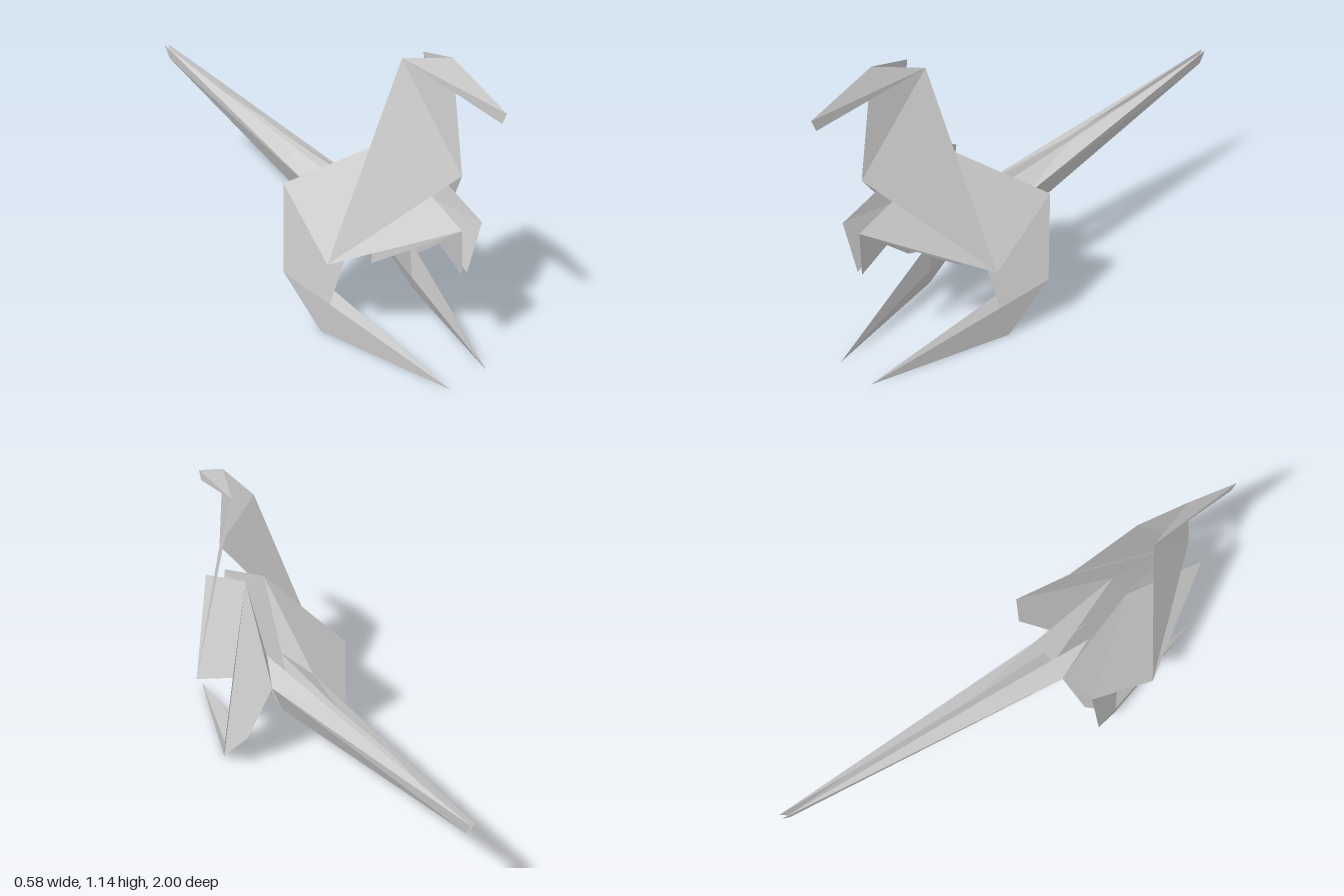
import * as THREE from 'three';

// Folded-paper bird-like dinosaur: every part is a thin sheet, mirrored in x.
const material = new THREE.MeshStandardMaterial({
  color: 0xcccccc, flatShading: true, side: THREE.DoubleSide,
});

// Corner points of the left half, shared between the sheets
const P = {
  crown: [0, 1.145, 0.76],
  nape: [0.047, 1.097, 0.58],
  beakTop: [0, 1.04, 1],
  beakBottom: [0, 1.0, 0.985],
  chest: [0, 0.757, 0.835],
  shoulder: [0.287, 0.365, 0.505],
  back: [0.042, 0.765, 0.505],
  hip: [0.255, 0.547, 0.21],
  knee: [0.288, 0.205, 0.25],
  innerKnee: [0.178, 0.18, 0.26],
  heel: [0.23, 0, 0.4],
  toe: [0.087, 0, 0.935],
  elbow: [0.046, 0.597, 0.895],
  claw: [0.012, 0.405, 0.877],
  armRoot: [0.02, 0.6, 0.57],
  bellyTip: [0.057, 0.264, 0.473],
  keel: [0.02, 0.4, 0.68],
  tailRoot: [0.095, 0.45, 0.19],
  tailBottom: [0.027, 0.285, 0.24],
  tailInner: [0.03, 0.48, 0.4],
  tailRidge: [0.012, 0.53, -0.15],
  tailTip: [0.009, 0.645, -1],
  tailTipBottom: [0.004, 0.59, -0.975],
};

// Each sheet is a polygon fanned out from its first corner
const parts = {
  head: ['nape beakBottom beakTop crown'],
  neck: ['nape crown chest shoulder'],
  bodySide: ['back shoulder hip'],
  breast: ['back elbow shoulder'],
  belly: ['back elbow bellyTip', 'back elbow keel tailBottom tailRoot'],
  arm: ['elbow claw armRoot'],
  leg: ['heel knee hip back', 'heel back tailRoot innerKnee'],
  foot: ['toe heel knee', 'toe innerKnee heel'],
  tail: [
    'tailRoot tailBottom tailTipBottom tailTip',
    'tailRoot tailTip tailRidge tailInner',
  ],
};

function sheetGeometry(sheets, side) {
  const positions = [];
  for (const sheet of sheets) {
    const corners = sheet.split(' ').map((key) => P[key]);
    for (let i = 1; i < corners.length - 1; i++) {
      const tri = [corners[0], corners[i], corners[i + 1]];
      if (side < 0) tri.reverse();
      for (const [x, y, z] of tri) positions.push(x * side, y, z);
    }
  }
  const geometry = new THREE.BufferGeometry();
  geometry.setAttribute('position', new THREE.Float32BufferAttribute(positions, 3));
  geometry.computeVertexNormals();
  return geometry;
}

export function createModel() {
  const model = new THREE.Group();
  model.name = 'foldedPaperDinosaur';
  for (const [name, sheets] of Object.entries(parts)) {
    const part = new THREE.Group();
    part.name = name;
    for (const side of [1, -1]) {
      const mesh = new THREE.Mesh(sheetGeometry(sheets, side), material);
      mesh.name = name + (side > 0 ? 'Left' : 'Right');
      part.add(mesh);
    }
    model.add(part);
  }
  return model;
}
